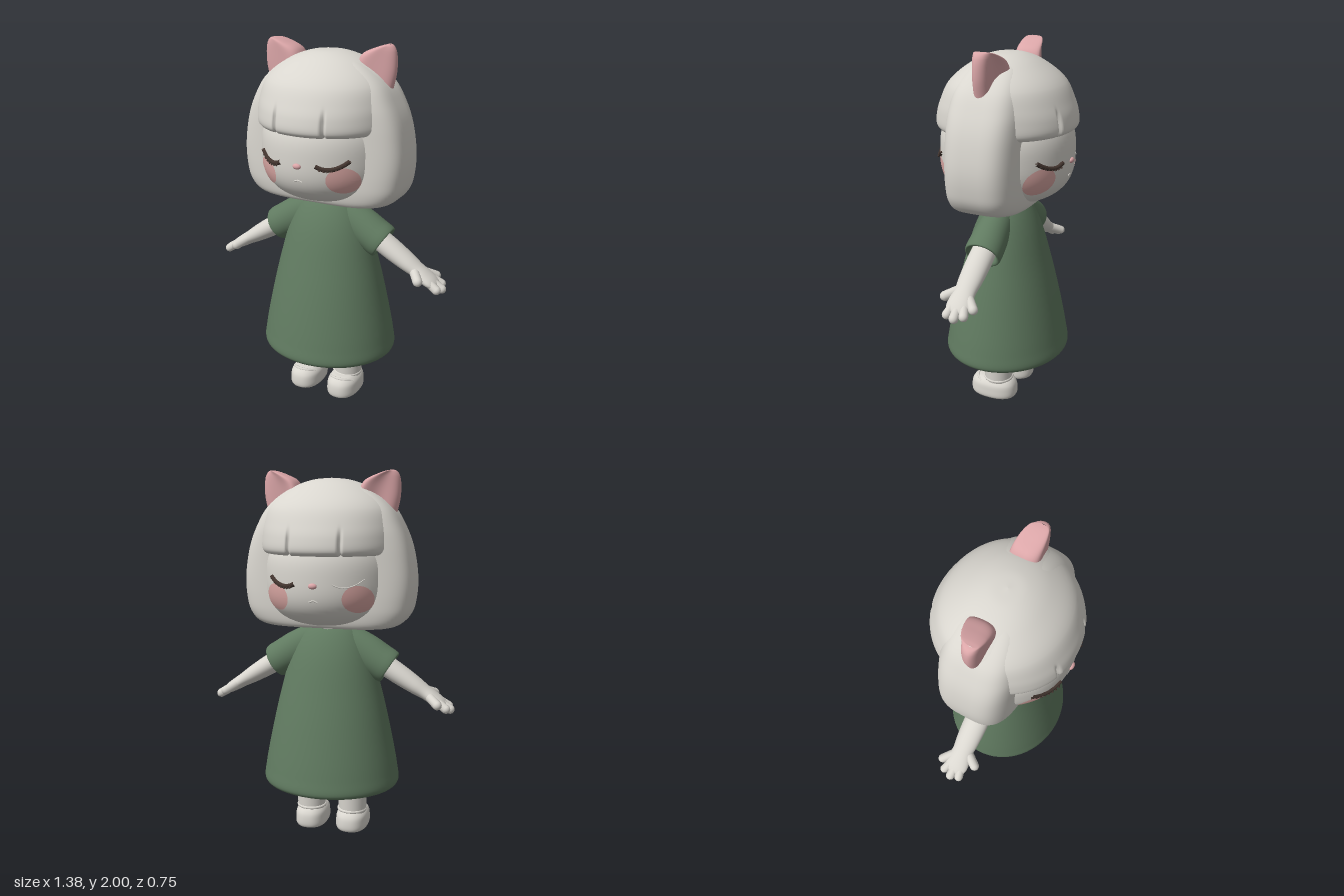
import * as THREE from 'three';

const mat = (name, color) => {
  const m = new THREE.MeshStandardMaterial({ color });
  m.name = name;
  return m;
};

// Closed-ring surface: fn(angle, v) gives a point, v runs along the part
function surface(nu, nv, fn) {
  const pos = [], idx = [];
  for (let j = 0; j <= nv; j++)
    for (let i = 0; i < nu; i++) pos.push(...fn((i / nu) * Math.PI * 2, j / nv));
  for (let j = 0; j < nv; j++)
    for (let i = 0; i < nu; i++) {
      const k = (i + 1) % nu, a = j * nu + i, b = j * nu + k, c = a + nu, d = b + nu;
      idx.push(a, c, d, a, d, b);
    }
  const g = new THREE.BufferGeometry();
  g.setAttribute('position', new THREE.Float32BufferAttribute(pos, 3));
  g.setIndex(idx);
  g.computeVertexNormals();
  return g;
}

// Loft of superellipse rings; keys are [half width, height, half depth]
function loft(keys, { nu = 48, nv = 40, n = 2, tweak = p => p } = {}) {
  const curve = new THREE.CatmullRomCurve3(keys.map(k => new THREE.Vector3(...k)));
  const se = c => Math.sign(c) * Math.abs(c) ** (2 / n);
  return surface(nu, nv, (a, v) => {
    const p = curve.getPoint(v);
    return tweak([p.x * se(Math.cos(a)), p.y, p.z * se(Math.sin(a))]);
  });
}

const V = (x, y, z) => new THREE.Vector3(x, y, z);
const tube = (pts, r) => new THREE.TubeGeometry(new THREE.CatmullRomCurve3(pts), 24, r, 8);

// Head radius by height, and the front of the face at x, y
const HEAD = { y: 1.45, h: 0.27, x: 0.362, z: 0.36, n: 2.8 };
const headScale = y => Math.max(0, 1 - Math.abs((y - HEAD.y) / HEAD.h) ** HEAD.n) ** (1 / HEAD.n);
const faceZ = (x, y) => {
  const s = headScale(y);
  return HEAD.z * Math.sqrt(Math.max(0, s * s - (x / HEAD.x) ** 2));
};
const onFace = (x, y, lift = 0) => V(x, y, faceZ(x, y) + lift);

export function createModel() {
  const skin = mat('pale', 0xd9d6cf), green = mat('dressGreen', 0x607a60);
  const pink = mat('earPink', 0xdba6a8), blush = mat('blush', 0xdca9a5), dark = mat('lashBrown', 0x43352f);
  blush.side = THREE.DoubleSide;
  const model = new THREE.Group();
  const add = (parent, name, geo, material) => {
    const m = new THREE.Mesh(geo, material);
    m.name = name;
    parent.add(m);
    return m;
  };
  const sub = (parent, name) => {
    const g = new THREE.Group();
    g.name = name;
    parent.add(g);
    return g;
  };

  // Head and neck
  add(model, 'head', surface(64, 40, (a, v) => {
    const y = HEAD.y - HEAD.h * Math.cos(Math.PI * v), s = headScale(y);
    return [HEAD.x * s * Math.cos(a), y, HEAD.z * s * Math.sin(a)];
  }), skin);
  add(model, 'neck', new THREE.CylinderGeometry(0.095, 0.09, 0.12, 32).translate(0, 1.15, 0), skin);

  // Bob: side locks running over the crown
  add(model, 'sideHair', loft([
    [0.001, 1.23, 0.001], [0.24, 1.195, 0.14], [0.33, 1.182, 0.18], [0.4, 1.205, 0.2], [0.442, 1.26, 0.21],
    [0.459, 1.33, 0.213], [0.465, 1.42, 0.213], [0.455, 1.52, 0.213], [0.432, 1.62, 0.213], [0.395, 1.71, 0.21],
    [0.335, 1.81, 0.19], [0.22, 1.9, 0.14], [0.1, 1.945, 0.065], [0.001, 1.955, 0.001],
  ], { nu: 96, nv: 60, n: 3.7 }), skin);

  // Fringe dome with two narrow partings at the front and back
  add(model, 'fringe', loft([
    [0.29, 1.595, 0.29], [0.355, 1.572, 0.345], [0.374, 1.595, 0.371], [0.374, 1.66, 0.366], [0.366, 1.72, 0.345],
    [0.335, 1.81, 0.299], [0.22, 1.905, 0.185], [0.1, 1.95, 0.088], [0.001, 1.96, 0.001],
  ], {
    nu: 360, nv: 48, n: 2.05,
    tweak: ([x, y, z]) => {
      const fade = 1 - THREE.MathUtils.smoothstep(y, 1.64, 1.73);
      const cut = fade * Math.exp(-(((Math.abs(x) - 0.135) / 0.008) ** 2));
      return [x, y, z - Math.sign(z) * 0.022 * cut];
    },
  }), skin);

  // Faces, front and back; the second lacks one set of lashes
  for (const back of [false, true]) {
    const face = sub(model, back ? 'backFace' : 'frontFace');
    if (back) face.rotation.y = Math.PI;
    const nose = add(face, 'nose', new THREE.SphereGeometry(1, 20, 14), pink);
    nose.scale.set(0.023, 0.015, 0.014);
    nose.position.set(0, 1.425, 0.36);
    add(face, 'mouth', tube([onFace(-0.022, 1.342), onFace(0, 1.35), onFace(0.022, 1.342)], 0.004), skin);
    for (const s of [1, -1]) {
      // Blush disc wrapped on the face
      const cheek = new THREE.RingGeometry(0.0005, 0.072, 40, 10);
      const p = cheek.attributes.position;
      for (let i = 0; i < p.count; i++) {
        const q = onFace(p.getX(i) + s * 0.215, p.getY(i) + 1.355, 0.004);
        p.setXYZ(i, q.x, q.y, q.z);
      }
      cheek.computeVertexNormals();
      add(face, 'cheek', cheek, blush);

      // Closed lid with short lashes
      const lid = (t, lift, drop = 0) =>
        onFace(s * (0.172 + 0.075 * t), 1.419 + 0.027 * t * t + 0.012 * t - drop, lift);
      const pts = [-1, -0.6, -0.2, 0.2, 0.6, 1].map(t => lid(t, 0.002));
      if (back && s === 1) {
        add(face, 'lidCrease', tube(pts, 0.003), skin);
        continue;
      }
      add(face, 'lashLine', tube(pts, 0.012), dark);
      for (let i = 0; i < 8; i++) {
        const t = -0.75 + i * 0.25;
        add(face, 'lash', tube([lid(t, 0.003), lid(t + 0.12, 0.018, 0.012)], 0.005), dark);
      }
    }
  }

  // Dress with an open hem
  add(model, 'dress', loft([
    [0.001, 0.8, 0.001], [0.22, 0.79, 0.18], [0.32, 0.42, 0.28], [0.338, 0.31, 0.298], [0.36, 0.28, 0.32],
    [0.381, 0.3, 0.341], [0.374, 0.38, 0.331], [0.332, 0.6, 0.287], [0.286, 0.8, 0.238],
    [0.23, 1, 0.18], [0.185, 1.1, 0.135], [0.13, 1.165, 0.09], [0.07, 1.182, 0.06],
  ], { nu: 64, nv: 80 }), green);

  for (const s of [1, -1]) {
    const side = sub(model, s > 0 ? 'leftSide' : 'rightSide');
    side.scale.x = s;

    // Arm, built along its own y axis
    const arm = sub(side, 'arm');
    arm.position.set(0.1, 1.09, 0);
    arm.rotation.z = -2.125;
    add(arm, 'sleeve', loft([
      [0.082, -0.03, 0.075], [0.094, 0.04, 0.085], [0.1, 0.12, 0.093], [0.098, 0.2, 0.099], [0.097, 0.25, 0.1],
      [0.092, 0.267, 0.096], [0.075, 0.262, 0.08], [0.055, 0.2, 0.06],
    ]), green);
    add(arm, 'forearm', loft([
      [0.055, 0.12, 0.062], [0.056, 0.3, 0.068], [0.047, 0.43, 0.064], [0.038, 0.5, 0.058], [0.034, 0.55, 0.064],
      [0.028, 0.6, 0.064], [0.018, 0.63, 0.045], [0.001, 0.64, 0.001],
    ]), skin);
    // Fingers and thumb as [tip along arm, tip z, root along arm, root z, radius]
    for (const [ty, tz, ry, rz, r] of [
      [0.592, -0.085, 0.53, -0.035, 0.025], [0.642, -0.052, 0.56, -0.025, 0.024], [0.662, -0.006, 0.57, 0, 0.025],
      [0.647, 0.04, 0.56, 0.025, 0.024], [0.545, 0.095, 0.49, 0.03, 0.026],
    ]) {
      const d = V(0, ty - ry, tz - rz);
      const f = add(arm, 'finger', new THREE.CapsuleGeometry(r, d.length(), 6, 14), skin);
      f.position.set(0, (ty + ry) / 2, (tz + rz) / 2);
      f.quaternion.setFromUnitVectors(V(0, 1, 0), d.normalize());
    }

    // Leg and strapped shoe
    add(side, 'leg', new THREE.CylinderGeometry(0.099, 0.078, 0.5, 32).translate(0.122, 0.35, 0.005), skin);
    const shoe = sub(side, 'shoe');
    shoe.position.set(0.12, 0, 0.03);
    add(shoe, 'shoeBody', loft([
      [0.001, 0, 0.001], [0.08, 0.001, 0.122], [0.09, 0.015, 0.133], [0.091, 0.05, 0.135], [0.086, 0.085, 0.127],
      [0.062, 0.112, 0.1], [0.001, 0.118, 0.001],
    ], { n: 2.4 }), skin);
    const rim = add(shoe, 'shoeRim', new THREE.TorusGeometry(0.076, 0.009, 10, 36), skin);
    rim.rotation.x = Math.PI / 2;
    rim.position.set(0, 0.113, -0.025);
    add(shoe, 'strap', tube([V(-0.07, 0.092, 0.05), V(-0.04, 0.107, 0.085), V(0, 0.111, 0.097),
      V(0.04, 0.107, 0.085), V(0.07, 0.092, 0.05)], 0.009), skin);

    // Wedge ear, thick toward the crown and dished on both faces
    const edge = pts => new THREE.CatmullRomCurve3(pts.map(([x, y]) => V(x, y, 0)));
    const outer = edge([[0.35, 1.76], [0.373, 1.87], [0.368, 1.965], [0.352, 1.992], [0.335, 2]]);
    const inner = edge([[0.15, 1.87], [0.185, 1.945], [0.25, 1.978], [0.305, 1.996], [0.333, 2]]);
    add(side, 'ear', surface(56, 24, (a, v) => {
      const o = outer.getPoint(v), i = inner.getPoint(v);
      const c = Math.cos(a), sn = Math.sin(a), w = (1 - c) / 2;
      const thick = sn < 0 ? 0.07 + 0.13 * w : 0.055 + 0.065 * w;
      const half = thick * Math.sqrt(1 - v * v * 0.98) * (1 - 0.3 * v);
      const dish = 1 - (sn < 0 ? 0.65 : 0.4) * sn * sn * (1 - v * 0.5);
      return [o.x + (i.x - o.x) * w, o.y + (i.y - o.y) * w, half * sn * dish - 0.015 * w * (1 - v)];
    }), pink);
  }
  return model;
}
